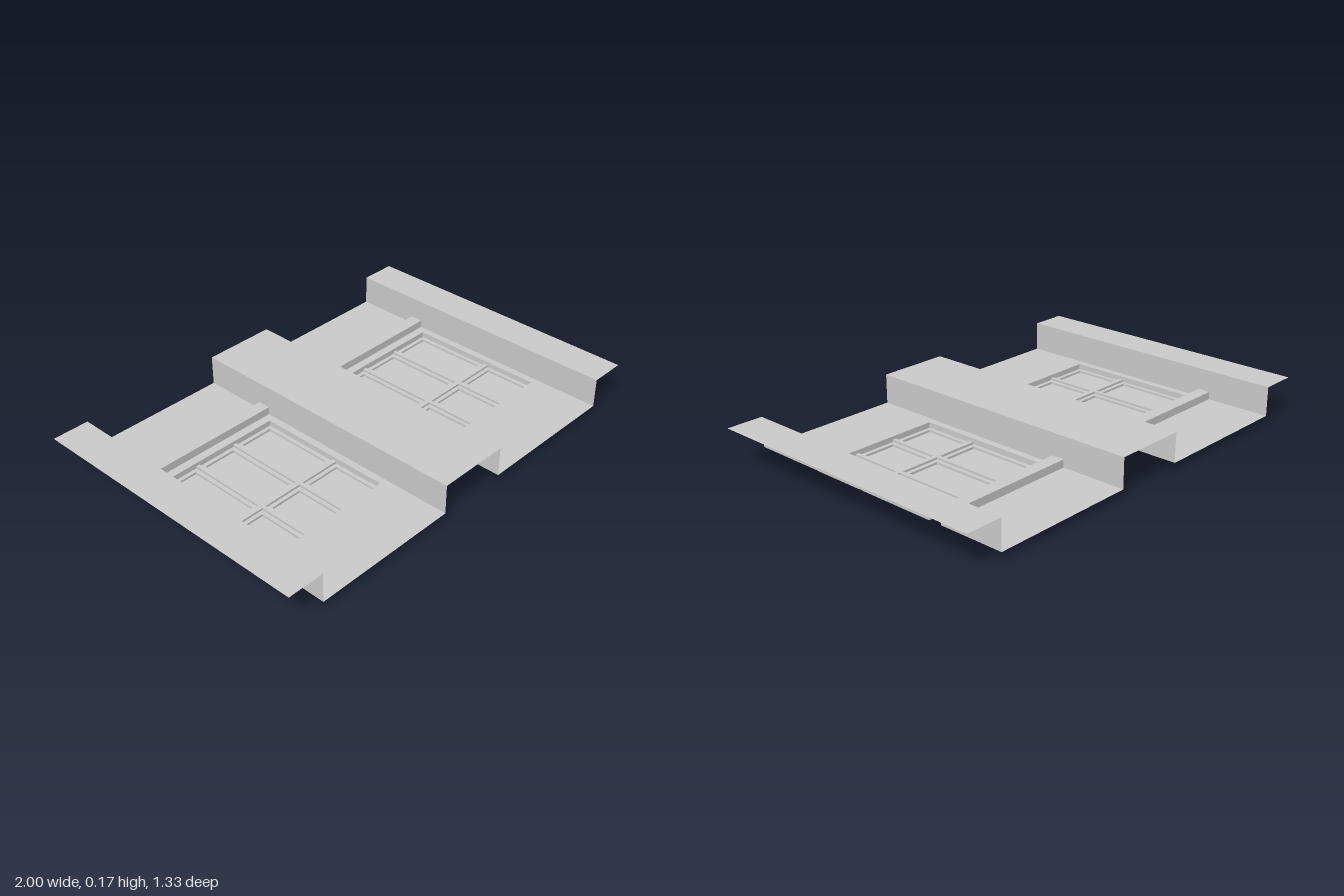
import * as THREE from 'three';

const material = new THREE.MeshStandardMaterial({ color: 0xcccccc, side: THREE.DoubleSide, flatShading: true });
const TOP = 0.168, FLOOR = 0.035, BAR = 0.07, RIB = 0.02, LEDGE = 0.01, DEPTH = 0.665;

// Closed outline from [x, y] pairs
const outline = (pts, Type = THREE.Shape) => new Type(pts.map(([x, y]) => new THREE.Vector2(x, y)));
const corners = ({ x0, x1, z0, z1 }) => [[x0, -z0], [x0, -z1], [x1, -z1], [x1, -z0]];

function add(group, name, geometry) {
  const mesh = new THREE.Mesh(geometry, material);
  mesh.name = name;
  group.add(mesh);
  return mesh;
}

// Horizontal sheet facing up, with optional rectangular openings
function sheet(group, name, y, rect, holes = []) {
  const shape = outline(corners(rect));
  for (const h of holes) shape.holes.push(outline(corners(h).reverse(), THREE.Path));
  add(group, name, new THREE.ShapeGeometry(shape).rotateX(-Math.PI / 2).translate(0, y, 0));
}

// Four upright walls around a rectangle
function rim(group, name, { x0, x1, z0, z1 }, y0, y1) {
  const g = new THREE.CylinderGeometry(Math.SQRT1_2, Math.SQRT1_2, 1, 4, 1, true).rotateY(Math.PI / 4).toNonIndexed();
  g.scale(x1 - x0, y1 - y0, z1 - z0).translate((x0 + x1) / 2, (y0 + y1) / 2, (z0 + z1) / 2);
  g.computeVertexNormals();
  add(group, name, g);
}

const grow = (r, d) => ({ x0: r.x0 - d, x1: r.x1 + d, z0: r.z0 - d, z1: r.z1 + d });

// One sunken bay with its window, centred on x = 0
function makeBay() {
  const bay = new THREE.Group();
  const half = 0.335, barBack = -0.368, barFront = -0.31;
  const recess = { x0: -0.303, x1: 0.303, z0: -0.272, z1: 0.36 };

  sheet(bay, 'bayFloorFront', FLOOR, { x0: -half, x1: half, z0: barFront, z1: DEPTH }, [recess]);
  sheet(bay, 'bayFloorBack', FLOOR, { x0: -half, x1: half, z0: -DEPTH, z1: barBack });

  // Raised bar, folded from the sheet and open below
  sheet(bay, 'barTop', BAR, { x0: -half, x1: half, z0: barBack, z1: barFront });
  for (const [z, turn] of [[barFront, 0], [barBack, Math.PI]]) {
    add(bay, 'barSide', new THREE.PlaneGeometry(2 * half, BAR - FLOOR)
      .rotateY(turn).translate(0, (BAR + FLOOR) / 2, z));
  }

  // Side walls, notched where the bar meets them
  const wall = outline([[-DEPTH, FLOOR], [barBack, FLOOR], [barBack, BAR], [barFront, BAR],
    [barFront, FLOOR], [DEPTH, FLOOR], [DEPTH, TOP], [-DEPTH, TOP]]);
  for (const x of [-half, half]) {
    add(bay, 'bayWall', new THREE.ShapeGeometry(wall).rotateY(-Math.PI / 2).translate(x, 0, 0));
  }

  // Window: 3 columns by 2 rows of panes, each sunk inside a narrow ledge
  const window = new THREE.Group();
  window.name = 'window';
  bay.add(window);
  const columns = [[-0.303, -0.11], [-0.093, 0.093], [0.11, 0.303]];
  const rows = [[-0.272, 0.096], [0.117, 0.36]];
  const openings = [];
  for (const [x0, x1] of columns) {
    for (const [z0, z1] of rows) {
      const outer = { x0, x1, z0, z1 }, inner = grow(outer, -0.018);
      openings.push(outer);
      sheet(window, 'paneLedge', LEDGE, outer, [inner]);
      rim(window, 'ledgeRim', outer, LEDGE, RIB);
      rim(window, 'paneRim', inner, 0, LEDGE);
      sheet(window, 'pane', 0, inner);
    }
  }
  rim(window, 'windowRim', recess, RIB, FLOOR);

  // Glazing bars between the panes
  for (const [x0, x1] of [[-0.11, -0.093], [0.093, 0.11]]) {
    sheet(window, 'longGlazingBar', RIB, { x0, x1, z0: recess.z0, z1: recess.z1 });
  }
  for (const [x0, x1] of columns) {
    sheet(window, 'crossGlazingBar', RIB, { x0, x1, z0: rows[0][1], z1: rows[1][0] });
  }
  return bay;
}

export function createModel() {
  const model = new THREE.Group();
  model.name = 'wallPanel';

  // Raised piers at the sides and in the middle
  for (const [name, x0, x1] of [['rightPier', -1, -0.835], ['middlePier', -0.165, 0.165], ['leftPier', 0.835, 1]]) {
    sheet(model, name, TOP, { x0, x1, z0: -DEPTH, z1: DEPTH });
  }

  for (const [name, x] of [['rightBay', -0.5], ['leftBay', 0.5]]) {
    const bay = makeBay();
    bay.name = name;
    bay.position.x = x;
    model.add(bay);
  }
  return model;
}
